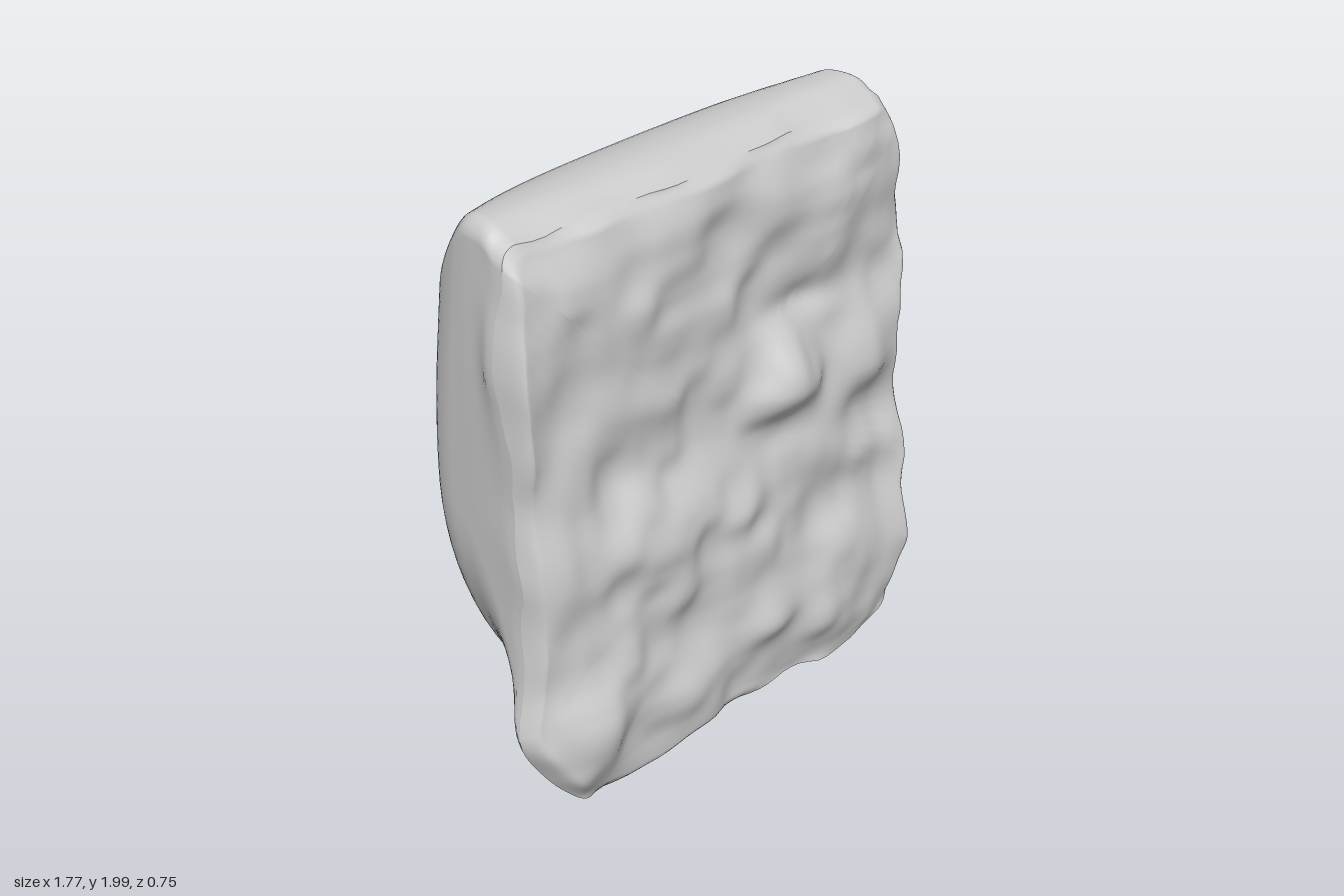
import * as THREE from 'three';

const CORNER = 20, SIDE = 30;
const { smoothstep, lerp, degToRad } = THREE.MathUtils;
const v3 = (a, b, c) => new THREE.Vector3(a, b, c);
const gauss = (d, r) => Math.exp(-(d * d) / (r * r));

// Rounded rectangle, counter-clockwise, always with the same number of points;
// the lower corners are taller than wide, like a shield
function outline(hw, top, bot, rTop, rBot) {
  const arcs = [[1, -1, rBot, -90], [1, 1, rTop, 0], [-1, 1, rTop, 90], [-1, -1, rBot, 180]].map(([sx, sy, r, a0]) => {
    const ry = sy > 0 ? r : 1.3 * r, pts = [];
    const cx = sx * (hw - r), cy = sy > 0 ? top - ry : bot + ry;
    for (let i = 0; i <= CORNER; i++) {
      const a = degToRad(a0 + 90 * i / CORNER);
      pts.push(new THREE.Vector2(cx + r * Math.cos(a), cy + ry * Math.sin(a)));
    }
    return pts;
  });
  const out = [];
  arcs.forEach((arc, k) => {
    out.push(...arc);
    const next = arcs[(k + 1) % 4][0];
    for (let i = 1; i < SIDE; i++) out.push(arc[CORNER].clone().lerp(next, i / SIDE));
  });
  return out;
}

// Smooth seeded value noise
function hash(i, j) {
  const s = Math.sin(i * 127.1 + j * 311.7 + 4.3) * 43758.5453;
  return (s - Math.floor(s)) * 2 - 1;
}
function noise(x, y) {
  const i = Math.floor(x), j = Math.floor(y);
  const u = THREE.MathUtils.smootherstep(x - i, 0, 1), v = THREE.MathUtils.smootherstep(y - j, 0, 1);
  return lerp(lerp(hash(i, j), hash(i + 1, j), u), lerp(hash(i, j + 1), hash(i + 1, j + 1), u), v);
}

// Lumps on the front: x, y, width, height, depth
const LUMPS = [
  [0.25, 1.16, 0.14, 0.16, 0.11], [0.64, 1.1, 0.13, 0.18, 0.055], [0.46, 1.12, 0.06, 0.15, -0.03],
  [0.55, 1.62, 0.2, 0.12, 0.04], [-0.38, 1.32, 0.18, 0.12, 0.035], [-0.35, 0.85, 0.25, 0.12, 0.045],
  [-0.02, 1.86, 0.13, 0.1, 0.025], [0.13, 0.34, 0.12, 0.11, 0.05], [-0.6, 0.35, 0.18, 0.15, 0.035],
  [0.55, 0.42, 0.17, 0.15, 0.03], [-0.65, 1.6, 0.14, 0.14, 0.03], [0.05, 0.8, 0.15, 0.1, 0.035],
  [-0.2, 0.45, 0.1, 0.14, -0.03], [0.38, 1.4, 0.25, 0.07, -0.03], [-0.47, 1.1, 0.1, 0.13, -0.03],
  [-0.3, 1.65, 0.16, 0.16, 0.03], [0.6, 0.78, 0.14, 0.1, 0.03],
];
function relief(x, y) {
  let h = 0.03 * noise(x * 4.5 + 9, y * 4.5 + 3) + 0.016 * noise(x * 8 + 2, y * 8 + 7);
  for (const [cx, cy, w, t, d] of LUMPS) {
    // steeper on the underside, so lumps read as hanging ledges
    h += d * gauss(x - cx, w) * gauss(y - cy, y < cy ? t * 0.7 : t);
  }
  return h;
}

// Bumps on the ragged front rim: side, height, spread, outward shift
const SPIKES = [[1, 1.45, 0.16, 0.045], [1, 0.75, 0.13, 0.03], [-1, 0.33, 0.14, 0.05], [-1, 1.55, 0.2, 0.02]];

const lean = y => 0.05 * Math.max(0, 1.6 - y) ** 2;

// Leans the slab, bows its back, narrows its top and roughens the rim
function place(p, z, rim) {
  let x = p.x * (1 - 0.025 * Math.max(0, (p.y - 1.3) / 0.7) ** 2), y = p.y;
  const back = smoothstep(-z, 0, 0.3), high = smoothstep(y, 1.0, 2.1);
  let depth = z + lean(y) + back * (0.025 * (x / 0.7) ** 2 + 0.06 * high * (x / 0.7) ** 4);
  for (const [s, cy, r, d] of SPIKES) {
    x += s * d * rim * gauss(y - cy, r) * smoothstep(s * x, 0.5, 0.85);
  }
  const low = 1 - smoothstep(y, 0.05, 0.35);
  y -= rim * low * (0.055 * gauss(x + 0.45, 0.2) + 0.02 * gauss(x - 0.45, 0.12));
  x += rim * 0.01 * noise(y * 9, 2.5 + Math.sign(x));
  y += rim * 0.012 * noise(x * 9, 7.5);
  depth += rim * (0.02 * noise(x * 7 + 5, y * 7) - 0.035 * high * (x / 0.8) ** 2);
  return v3(x, y, depth);
}

// Skin over closed loops that run from back to front
function skin(name, loops, material) {
  const n = loops[0].length, pos = [], index = [];
  loops.forEach(loop => loop.forEach(p => pos.push(p.x, p.y, p.z)));
  for (let i = 0; i < loops.length - 1; i++) {
    for (let j = 0; j < n; j++) {
      const a = i * n + j, b = i * n + (j + 1) % n;
      index.push(a, b, b + n, a, b + n, a + n);
    }
  }
  const g = new THREE.BufferGeometry();
  g.setAttribute('position', new THREE.Float32BufferAttribute(pos, 3));
  g.setIndex(index);
  g.computeVertexNormals();
  const mesh = new THREE.Mesh(g, material);
  mesh.name = name;
  return mesh;
}

export function createModel() {
  const group = new THREE.Group();
  group.name = 'stoneSlab';
  const material = new THREE.MeshStandardMaterial({ color: 0xcccccc, side: THREE.DoubleSide });

  // Sections from back to front: z, half width, top, bottom, top radius, bottom radius
  const S = [
    [-0.378, 0, 1.06, 1.06, 0, 0],
    [-0.376, 0.3, 1.4, 0.72, 0.08, 0.22],
    [-0.365, 0.58, 1.63, 0.46, 0.12, 0.46],
    [-0.34, 0.7, 1.75, 0.3, 0.12, 0.58],
    [-0.29, 0.77, 1.85, 0.18, 0.1, 0.65],
    [-0.21, 0.805, 1.935, 0.125, 0.08, 0.67],
    [-0.1, 0.818, 1.985, 0.115, 0.06, 0.64],
    [0.0, 0.828, 2.0, 0.12, 0.06, 0.54],
    [0.07, 0.835, 1.99, 0.115, 0.06, 0.41],
    [0.12, 0.84, 1.968, 0.085, 0.07, 0.29],
    [0.16, 0.84, 1.955, 0.06, 0.07, 0.22],
  ];
  const curve = k => new THREE.CatmullRomCurve3(S.map(s => v3(s[k], s[k + 1], s[k + 2])), false, 'catmullrom');
  const c1 = curve(0), c2 = curve(3), steps = (S.length - 1) * 4, body = [];
  for (let i = 0; i <= steps; i++) {
    const a = c1.getPoint(i / steps), b = c2.getPoint(i / steps);
    const rim = smoothstep(a.x, 0.0, 0.16);
    body.push(outline(a.y, a.z, b.x, b.y, b.z).map(p => place(p, a.x, rim)));
  }
  group.add(skin('smoothBody', body, material));

  // Rough front: loops shrinking from the rim to the middle, closest near the rim;
  // the swelling fades towards the top and bottom edges
  const front = [], rings = 64;
  for (let i = 0; i <= rings; i++) {
    const t = (i / rings) ** 1.3, s = 1 - t;
    const inset = Math.sqrt(smoothstep(t, 0, 0.04));
    front.push(body[steps].map(p => {
      const x = p.x * s, y = 1.05 + (p.y - 1.05) * s;
      const fade = smoothstep(y, -0.05, 0.3) * (1 - smoothstep(y, 1.78, 2.0));
      const swell = fade * (0.037 + 0.05 * (1 - y / 2));
      return v3(x, y, lerp(p.z, 0.16 + lean(y) + swell + relief(x, y), inset));
    }));
  }
  group.add(skin('roughFront', front, material));
  return group;
}
